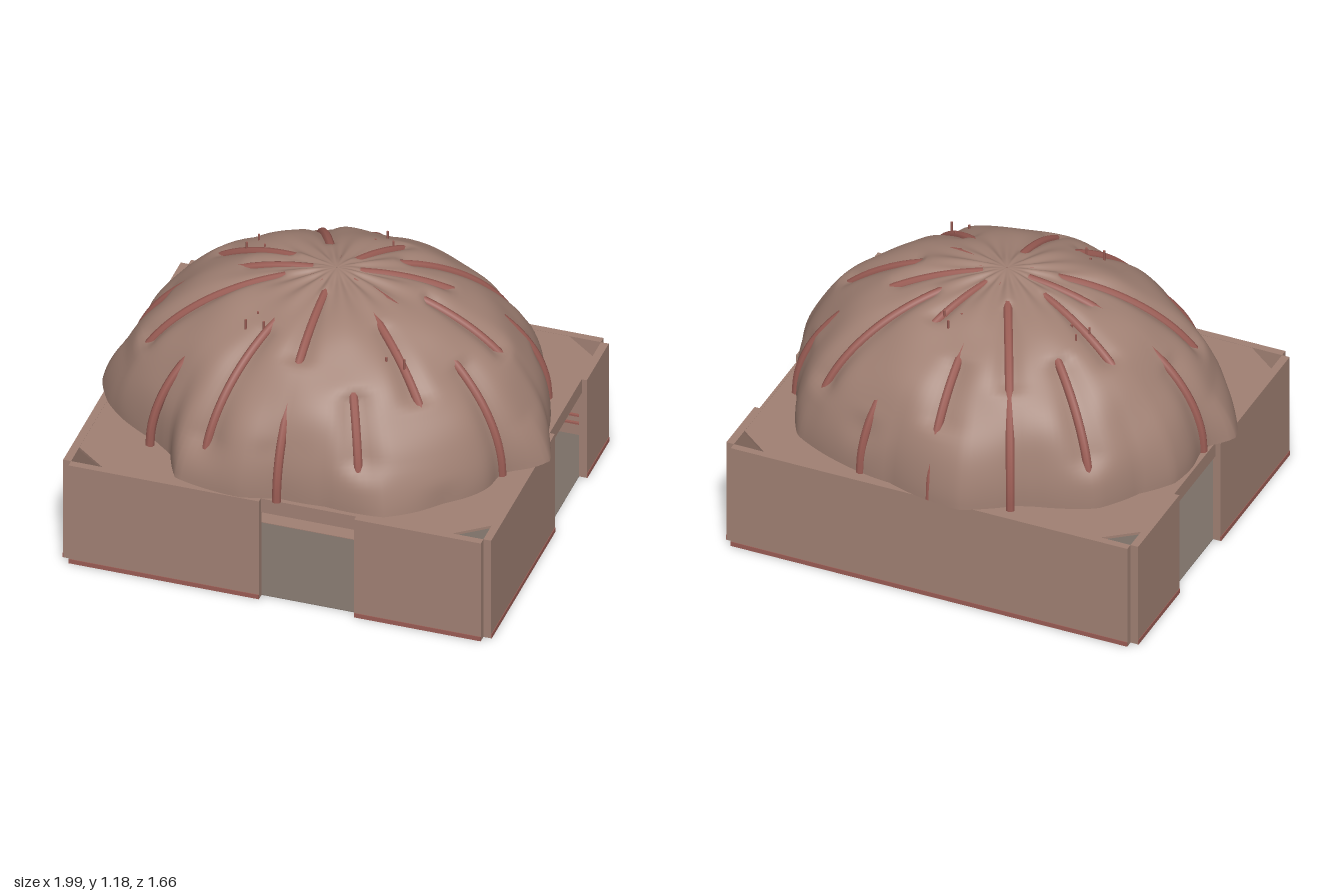
import * as THREE from 'three';

const mat = (name, color, extra = {}) => Object.assign(new THREE.MeshStandardMaterial({ color, ...extra }), { name });
const RX = 0.91, RY = 0.66, RZ = 0.8, BASE = 0.5, RIBS = 16;

// Outline of the canopy hem: [angle in degrees, scale of the rib ellipse]
const HEM = [[-3, 1.02], [9, 1.115], [23, 1.036], [43, 1.057], [62, 1.09], [77, 0.99], [90, 0.97], [99, 1.04],
  [118, 1.086], [128, 0.96], [136, 0.96], [150, 1.04], [158, 1.08], [171, 1.115], [182, 1.01], [199, 1.046],
  [210, 1.01], [224, 1.04], [240, 0.97], [246, 0.96], [261, 1.05], [283, 0.98], [302, 1.03], [316, 1.075],
  [332, 1.0], [349, 1.01], [357, 1.02]];

// Stretches where a rib shows through the cloth: [rib, inner radius, outer radius]
const BARE = [[0, 0.4, 0.79], [1, 0.7, 1.1], [2, 0.41, 0.8], [2, 0.985, 1.1], [3, 0.72, 0.96], [4, 0.18, 0.62],
  [4, 0.91, 1.1], [5, 0.48, 0.97], [6, 0.94, 1.1], [7, 0.23, 0.88], [8, 0.1, 0.42], [8, 0.78, 1.1],
  [9, 0.23, 0.68], [10, 0.58, 0.96], [11, 0.25, 0.72], [11, 0.98, 1.1], [12, 0.6, 0.88], [13, 0.13, 0.48],
  [13, 0.91, 0.98], [14, 0.33, 0.93], [15, 0.1, 0.52], [15, 0.89, 0.99]];

const { smoothstep } = THREE.MathUtils;

function hemScale(deg) {
  const i = HEM.findIndex(([d]) => d >= deg);
  const [d0, s0] = HEM[Math.max(i - 1, 0)], [d1, s1] = HEM[Math.max(i, 1)];
  return s0 + (s1 - s0) * (deg - d0) / (d1 - d0);
}

// Point on the rib ellipsoid for angle a and elevation e, scaled by s
const domePoint = (a, e, s = 1) => new THREE.Vector3(
  RX * Math.cos(e) * Math.cos(a) * s, BASE + RY * Math.sin(e) * s, RZ * Math.cos(e) * Math.sin(a) * s);

function clothScale(a, e) {
  let deg = THREE.MathUtils.radToDeg(a) % 360;
  if (deg > 357) deg -= 360;
  const r = Math.cos(e);
  // Soft lumps above, the hem outline below, its sharp tips only at the very edge
  const lump = Math.sin(5 * a + 7 * e) * Math.sin(6 * e + 1) + 0.6 * Math.sin(9 * a - 8 * e);
  const hem = r ** 8, rim = hemScale(deg) - 1, tip = Math.max(0, rim - 0.05);
  let d = (0.033 + 0.011 * lump * Math.min(1, r * 2)) * (1 - hem) + (rim - tip) * hem;
  d += tip * Math.max(0, 1 - Math.sin(e) / 0.3);
  // Shallow pleats gathered at the crown
  d -= 0.018 * smoothstep(r, 0.04, 0.15) * (1 - smoothstep(r, 0.2, 0.45)) * Math.sin(a * RIBS / 2) ** 2;
  for (const [k, r0, r1] of BARE) {
    let da = Math.abs(deg - k * 360 / RIBS);
    da = Math.min(da, 360 - da);
    const near = Math.exp(-((da / 5.5) ** 2)) * smoothstep(r, r0, r0 + 0.05) * (1 - smoothstep(r, r1 - 0.02, r1 + 0.03));
    d += (Math.min(d, -0.004) - d) * near;
  }
  return 1 + d;
}

function clothGeometry(cols = 192, rows = 48) {
  const pos = [], idx = [];
  for (let j = 0; j <= rows; j++) for (let i = 0; i < cols; i++) {
    const a = i / cols * Math.PI * 2, e = j / rows * Math.PI / 2 * 0.998;
    pos.push(...domePoint(a, e, clothScale(a, e)).toArray());
  }
  for (let j = 0; j < rows; j++) for (let i = 0; i < cols; i++) {
    const n = (i + 1) % cols, a = j * cols + i, b = j * cols + n, c = a + cols, d = b + cols;
    idx.push(a, c, b, b, c, d);
  }
  const g = new THREE.BufferGeometry();
  g.setAttribute('position', new THREE.Float32BufferAttribute(pos, 3));
  g.setIndex(idx);
  g.computeVertexNormals();
  return g;
}

export function createModel() {
  const model = new THREE.Group();
  const clay = mat('clay brown', 0xa08073);
  const cloth = mat('canopy brown', 0xa08073, { side: THREE.DoubleSide });
  const red = mat('red wood', 0x9a5c54);
  const stone = mat('grey floor', 0x7a6e66);

  const add = (name, geo, m, parent = model) => {
    const mesh = new THREE.Mesh(geo, m);
    mesh.name = name;
    parent.add(mesh);
    return mesh;
  };
  // Box given by its lower and upper corners
  const block = (name, m, x0, x1, y0, y1, z0, z1) => {
    const mesh = add(name, new THREE.BoxGeometry(x1 - x0, y1 - y0, z1 - z0), m);
    mesh.position.set((x0 + x1) / 2, (y0 + y1) / 2, (z0 + z1) / 2);
  };

  // Room interior limits and outer faces of the walls
  const X = 0.92, XO = 0.955, ZF = 0.79, ZFO = 0.824, ZB = -0.77, ZBO = -0.803;
  block('floor', stone, -X, X, 0, 0.003, ZB, ZF);
  block('rug', clay, -0.5, 0.3, 0.003, 0.006, -0.3, 0.28);

  // Walls with a red skirting
  const wallX = (name, x0, x1, z0, z1, out) => {
    block(name, clay, x0, x1, 0, BASE, z0, z1);
    const face = out > 0 ? z1 : z0;
    block(name + 'Skirting', red, x0, x1, 0.001, 0.022, face - 0.003, face + 0.003);
  };
  const wallZ = (name, z0, z1, side) => {
    const a = side * X, b = side * XO;
    block(name, clay, Math.min(a, b), Math.max(a, b), 0, BASE, z0, z1);
    block(name + 'Skirting', red, b - 0.003, b + 0.003, 0.001, 0.022, z0, z1);
  };
  wallX('frontWallRight', -X, -0.07, ZF, ZFO, 1);
  wallX('frontWallLeft', 0.355, X, ZF, ZFO, 1);
  wallX('backWall', -X, X, ZBO, ZB, -1);
  wallZ('leftWallFront', -0.055, ZF, 1);
  wallZ('leftWallBack', ZB, -0.48, 1);
  wallZ('rightWallFront', 0.08, ZF, -1);
  wallZ('rightWallBack', ZB, -0.345, -1);

  // Lintels over the three doorways
  block('frontLintel', clay, -0.07, 0.355, 0.43, BASE, ZF, 0.8);
  block('leftLintel', clay, X, 0.932, 0.43, BASE, -0.48, -0.055);
  block('rightLintel', clay, -0.932, -X, 0.43, BASE, -0.345, 0.08);

  // Ceiling with cut corners and an oval opening below the canopy
  const cx = 0.14, cz = 0.11;
  const shape = new THREE.Shape([[-X + cx, -ZF], [X - cx, -ZF], [X, -ZF + cz], [X, -ZB - cz],
    [X - cx, -ZB], [-X + cx, -ZB], [-X, -ZB - cz], [-X, -ZF + cz]].map(p => new THREE.Vector2(...p)));
  shape.holes.push(new THREE.Path().absellipse(0, 0, RX * 0.92, RZ * 0.92, 0, Math.PI * 2, true));
  const ceiling = new THREE.ExtrudeGeometry(shape, { depth: 0.012, bevelEnabled: false, curveSegments: 32 });
  add('ceiling', ceiling.rotateX(-Math.PI / 2).translate(0, BASE - 0.013, 0), clay);

  // Canopy cloth over radiating ribs
  add('canopy', clothGeometry(), cloth);
  const ribs = new THREE.Group();
  ribs.name = 'canopyRibs';
  model.add(ribs);
  for (let k = 0; k < RIBS; k++) {
    const a = k / RIBS * Math.PI * 2, pts = [];
    for (let i = 0; i <= 12; i++) pts.push(domePoint(a, i / 12 * 1.46));
    add('rib', new THREE.TubeGeometry(new THREE.CatmullRomCurve3(pts), 32, 0.02, 8), red, ribs);
  }

  // Clusters of hanging globe lamps whose cords pass through the cloth
  for (const [x, z] of [[-0.42, -0.19], [0.1, -0.35], [-0.24, 0.36], [0.39, 0.37]]) {
    const top = BASE + RY * Math.sqrt(1 - (x / RX) ** 2 - (z / RZ) ** 2) + 0.042;
    for (let i = 0; i < 3; i++) {
      const a = i / 3 * Math.PI * 2 + 0.4, y = 0.7 + i * 0.03;
      const lx = x + 0.045 * Math.cos(a), lz = z + 0.045 * Math.sin(a);
      add('lampCord', new THREE.CylinderGeometry(0.005, 0.005, top - y, 6), red).position.set(lx, (top + y) / 2, lz);
      add('lampGlobe', new THREE.SphereGeometry(0.036, 16, 12), clay).position.set(lx, y, lz);
    }
  }

  // Pegs, rails and a framed knob on the inner walls
  for (let x = -0.85; x < 0.9; x += 0.056) block('backPeg', red, x - 0.005, x + 0.005, 0.355, 0.385, ZB, ZB + 0.02);
  for (let z = -0.67; z < -0.36; z += 0.056) block('sidePeg', red, -X, -X + 0.02, 0.355, 0.385, z - 0.005, z + 0.005);
  for (const y of [0.067, 0.107]) block('backRail', red, -0.9, 0.9, y - 0.004, y + 0.004, ZB, ZB + 0.012);
  block('knobPlate', clay, 0.13, 0.22, 0.115, 0.225, ZB, ZB + 0.02);
  add('knob', new THREE.SphereGeometry(0.03, 16, 12), clay).position.set(0.175, 0.175, ZB + 0.03);
  return model;
}
